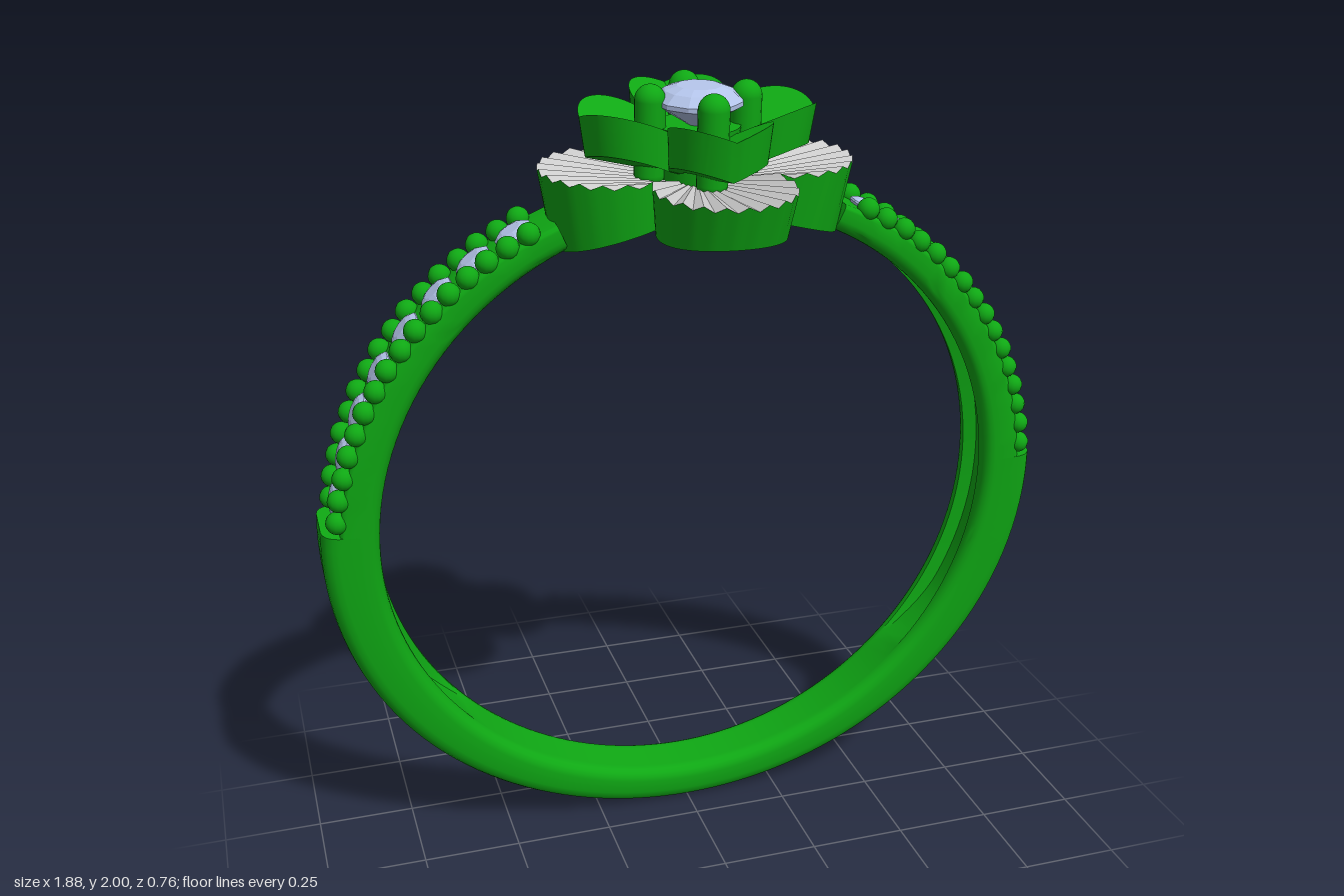
import * as THREE from 'three';
import { toCreasedNormals } from 'three/addons/utils/BufferGeometryUtils.js';

const green = new THREE.MeshStandardMaterial({ color: 0x0fa814 });
const grey = new THREE.MeshStandardMaterial({ color: 0xcccccc, flatShading: true });
const gem = new THREE.MeshStandardMaterial({ color: 0xb4c4ea, flatShading: true });

const RING_Y = 0.905, INNER = 0.8, SHOULDER = 4, END = 66, N = 192;
const lerp = THREE.MathUtils.lerp, smooth = THREE.MathUtils.smoothstep, rad = THREE.MathUtils.degToRad;

// Skin a list of closed loops that all have the same number of points
function skin(rows, crease = 0.6) {
  const n = rows[0].length, index = [];
  for (let i = 0; i < rows.length - 1; i++) {
    for (let j = 0; j < n; j++) {
      const a = i * n + j, b = i * n + (j + 1) % n;
      index.push(a, b, b + n, a, b + n, a + n);
    }
  }
  const geo = new THREE.BufferGeometry();
  geo.setAttribute('position', new THREE.Float32BufferAttribute(rows.flat(2), 3));
  geo.setIndex(index);
  geo.computeVertexNormals();
  return toCreasedNormals(geo, crease);
}

function add(parent, name, geo, mat, x = 0, y = 0, z = 0) {
  const mesh = new THREE.Mesh(geo, mat);
  mesh.name = name;
  mesh.position.set(x, y, z);
  parent.add(mesh);
  return mesh;
}

// Band size at an elevation in degrees; the stone-set part is lower than the plain part
function bandSize(e, upper) {
  const up = (e - SHOULDER) / (END - SHOULDER);
  return upper
    ? { ro: lerp(0.897, 0.868, up), w: lerp(0.09, 0.08, up), c: 0.012 }
    : { ro: lerp(0.905, 0.94, smooth(e, -90, SHOULDER)), w: lerp(0.075, 0.09, smooth(e, -90, SHOULDER)), c: 0.04 };
}

// Rounded cross-section with a groove on the finger side
function bandSection(e, upper) {
  const { ro, w, c } = bandSize(e, upper);
  const g = 0.035 * smooth(e, -45, -25), k = 0.03, half = [];
  const corner = (r, z, size, start) => {
    for (let i = 0; i <= 4; i++) {
      const t = start + i * Math.PI / 8;
      half.push([r + size * Math.cos(t), z + size * Math.sin(t)]);
    }
  };
  half.push([ro, 0.02]);
  corner(ro - c, w - c, c, 0);
  corner(INNER + k, w - k, k, Math.PI / 2);
  half.push([INNER, 0.048], [INNER + g, 0.04]);
  return [...half, ...half.map(([r, z]) => [r, -z]).reverse()];
}

function bandGeometry() {
  const stops = [];
  for (let i = 0; i <= 24; i++) stops.push([lerp(END, SHOULDER, i / 24), true]);
  for (let i = 0; i <= 40; i++) stops.push([lerp(SHOULDER, -90, i / 40), false]);
  const place = (section, e, side) => section.map(([r, z]) =>
    [side * r * Math.cos(rad(e)), RING_Y + r * Math.sin(rad(e)), z]);
  const rows = stops.map(([e, up]) => place(bandSection(e, up), e, 1));
  rows.push(...stops.slice(0, -1).reverse().map(([e, up]) => place(bandSection(e, up), e, -1)));
  // Close both ends to a middle point
  const cap = (side) => place(rows[0].map(() => [0.85, 0]), END, side);
  return skin([cap(1), ...rows, cap(-1)]);
}

// Outline of four joined round petals, with distance along and across the nearest petal axis
function flowerLoop(d, R, scale, height) {
  return Array.from({ length: N }, (_, j) => {
    const a = j / N * Math.PI * 2, q = Math.PI / 2;
    const delta = a - Math.round(a / q) * q;
    const edge = d * Math.cos(delta) + Math.sqrt(Math.max(0, R * R - (d * Math.sin(delta)) ** 2));
    const r = edge * scale, x = r * Math.cos(a), z = r * Math.sin(a);
    return [x, height(x, z, r * Math.cos(delta), Math.abs(r * Math.sin(delta)), j), z];
  });
}

// Faceted round stone with its girdle at y = 0
function stoneGeometry(r, crown, depth, sides) {
  const profile = [[0, -depth], [r, -0.06 * r], [r, 0.04 * r], [r * 0.78, crown * 0.7], [r * 0.5, crown], [0, crown]];
  return new THREE.LatheGeometry(profile.map(([x, y]) => new THREE.Vector2(x, y)), sides);
}

function addShoulderStones(parent) {
  const stone = stoneGeometry(0.049, 0.014, 0.055, 10);
  const bead = new THREE.SphereGeometry(0.028, 14, 10);
  for (const side of [1, -1]) {
    const group = new THREE.Group();
    group.name = side > 0 ? 'leftShoulderSetting' : 'rightShoulderSetting';
    for (let i = 0; i < 8; i++) {
      const e = 8 + i * 7.4, size = bandSize(e, true), r = size.ro + 0.006;
      const m = add(group, 'smallStone', stone, gem, side * r * Math.cos(rad(e)), RING_Y + r * Math.sin(rad(e)), 0);
      m.rotation.z = side * rad(e - 90);
      for (const f of [-1.85, 1.85]) {
        const t = rad(e + f), rb = size.ro + 0.008;
        for (const s of [1, -1]) {
          add(group, 'bead', bead, green, side * rb * Math.cos(t), RING_Y + rb * Math.sin(t), s * (size.w - 0.02));
        }
      }
    }
    parent.add(group);
  }
}

function addLowerFlower(parent) {
  const loop = (s, h) => flowerLoop(0.215, 0.164, s, h);
  // Fluted dish: ridges fan out from the middle
  const flute = (s) => (x, z, along, across, j) =>
    1.76 + 0.045 * s + 0.006 * s * (Math.abs(j % 4 - 2) - 1);
  const underside = (x) => RING_Y + Math.sqrt(INNER * INNER - x * x);
  add(parent, 'lowerPetalFace', skin([0, 0.35, 0.7, 1].map((s) => loop(s, flute(s)))), grey);
  add(parent, 'lowerPetalShell', skin([
    loop(1, flute(1)),
    loop(0.92, underside),
    loop(0.8, underside),
    loop(0.82, () => 1.75),
    loop(0, () => 1.75),
  ]), green);
}

function addUpperFlower(parent) {
  const loop = (s, drop) => flowerLoop(0.165, 0.118, s, (x, z, along, across) =>
    1.835 + 0.32 * along + 0.4 * across - drop);
  // Solid creased petals rising outwards
  add(parent, 'upperPetals', skin([
    loop(0, 0), loop(0.5, 0), loop(1, 0), loop(0.95, 0.09), loop(0.5, 0.08), loop(0, 0.06),
  ], 0.4), green);
}

function addCentreSetting(parent) {
  add(parent, 'settingBase', new THREE.CylinderGeometry(0.1, 0.085, 0.15, 32), green, 0, 1.82, 0);
  add(parent, 'centreStone', stoneGeometry(0.105, 0.035, 0.07, 12), gem, 0, 1.95, 0);
  // Round-topped prongs on the four petal axes
  const prong = new THREE.CapsuleGeometry(0.037, 0.17, 8, 18);
  for (let i = 0; i < 4; i++) {
    const a = i * Math.PI / 2;
    add(parent, 'prong', prong, green, 0.116 * Math.cos(a), 1.87, 0.116 * Math.sin(a));
  }
}

export function createModel() {
  const model = new THREE.Group();
  model.name = 'flowerRing';
  const ring = new THREE.Group();
  ring.name = 'tiltedRing';
  add(ring, 'band', bandGeometry(), green);
  addShoulderStones(ring);
  addLowerFlower(ring);
  addUpperFlower(ring);
  addCentreSetting(ring);
  // Lean the whole ring about the flower
  const tilt = rad(4.7);
  ring.rotation.x = tilt;
  ring.position.set(0, 1.8 * (1 - Math.cos(tilt)), -1.8 * Math.sin(tilt));
  model.add(ring);
  return model;
}
